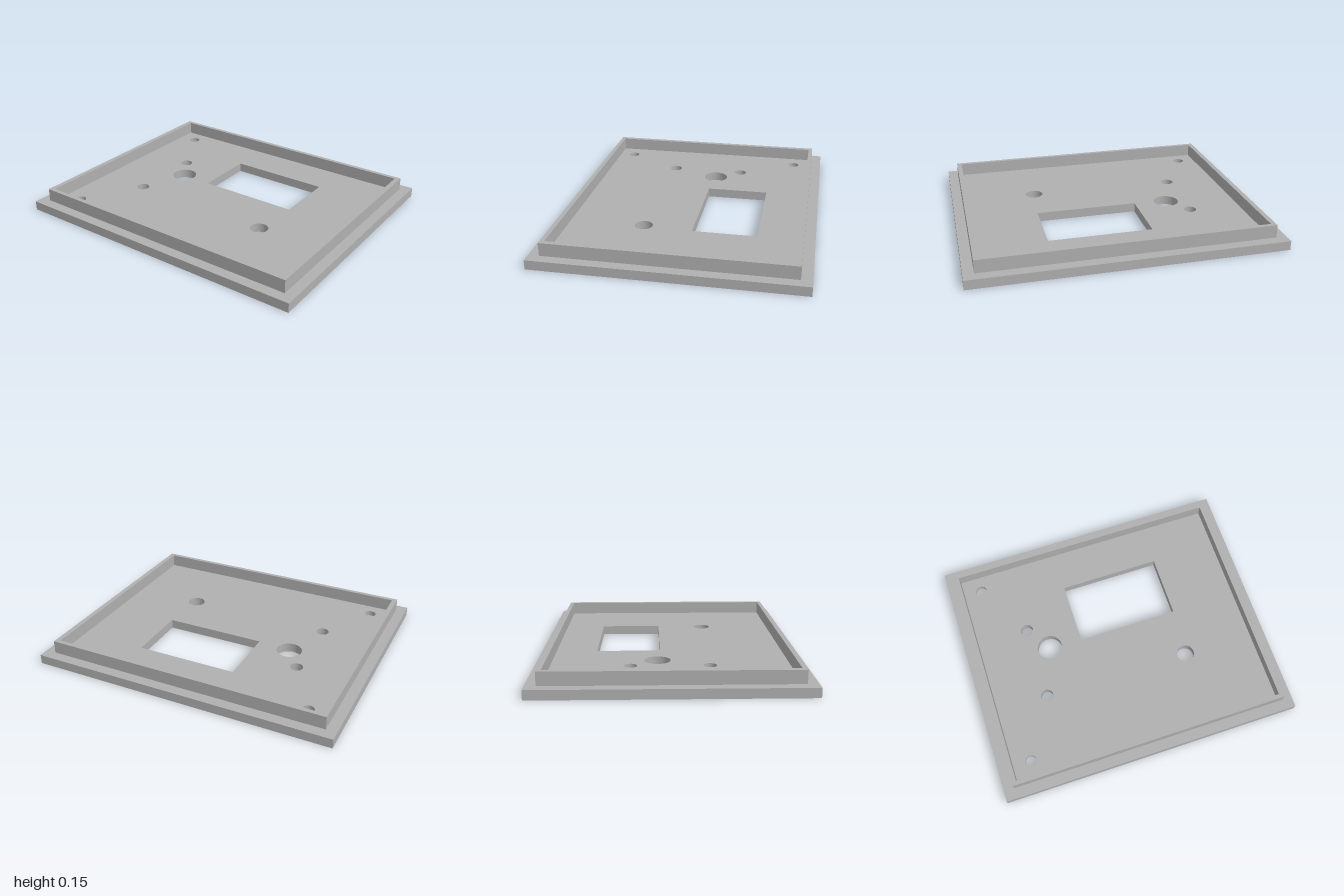
import * as THREE from 'three';

const PLATE_TOP = 0.061, RIM_TOP = 0.146, BORE_DEPTH = 0.027;

// Rectangle outline given by its limits in x and z (shape y is -z)
function rectangle(Type, x0, x1, z0, z1) {
  return new Type([[x0, -z1], [x1, -z1], [x1, -z0], [x0, -z0]].map(([x, y]) => new THREE.Vector2(x, y)));
}

function circle(Type, x, z, r) {
  const outline = new Type();
  outline.absarc(x, -z, r, 0, Math.PI * 2, false);
  return outline;
}

// Upright slab of a flat outline between two heights
function slab(name, shape, y0, y1, material) {
  const geometry = new THREE.ExtrudeGeometry(shape, { depth: y1 - y0, bevelEnabled: false, curveSegments: 32 });
  geometry.rotateX(-Math.PI / 2).translate(0, y0, 0);
  const mesh = new THREE.Mesh(geometry, material);
  mesh.name = name;
  return mesh;
}

export function createModel() {
  const group = new THREE.Group();
  group.name = 'panelLid';
  const grey = new THREE.MeshStandardMaterial({ color: 0xb0b0b0 });
  grey.name = 'grey';

  const screws = [[-0.78, -0.634], [-0.78, 0.634]];
  const boreRadius = 0.098;

  // Base plate with the display window, through holes and screw bores
  const plate = rectangle(THREE.Shape, -1, 1, -0.836, 0.836);
  plate.holes.push(rectangle(THREE.Path, -0.217, 0.458, -0.474, -0.063));
  for (const [x, z, r] of [
    [-0.555, -0.247, 0.042],
    [-0.555, 0.245, 0.042],
    [-0.439, -0.079, 0.083],
    [0.431, 0.256, 0.058],
  ]) plate.holes.push(circle(THREE.Path, x, z, r));
  for (const [x, z] of screws) plate.holes.push(circle(THREE.Path, x, z, boreRadius));
  group.add(slab('basePlate', plate, 0, PLATE_TOP, grey));

  // Screw seats fill the upper part of each bore, leaving a recess below
  for (const [x, z] of screws) {
    const seat = circle(THREE.Shape, x, z, boreRadius);
    seat.holes.push(circle(THREE.Path, x, z, 0.0375));
    group.add(slab('screwSeat', seat, BORE_DEPTH, PLATE_TOP, grey));
  }

  // Raised rim, set in from the plate edge
  const rim = rectangle(THREE.Shape, -0.933, 0.933, -0.768, 0.768);
  rim.holes.push(rectangle(THREE.Path, -0.901, 0.901, -0.74, 0.74));
  group.add(slab('rim', rim, PLATE_TOP, RIM_TOP, grey));

  return group;
}
